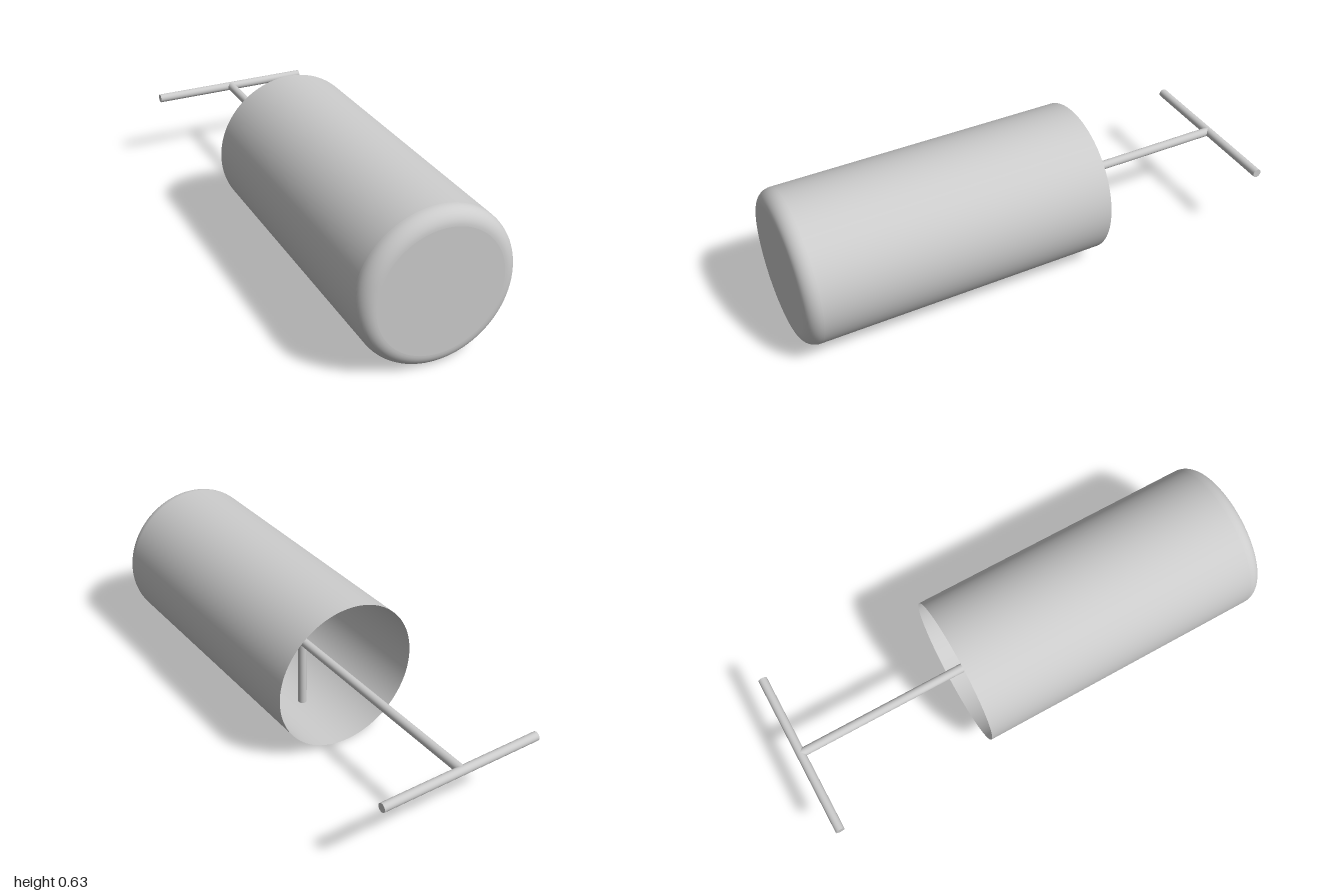
import * as THREE from 'three';

export function createModel() {
  const group = new THREE.Group();
  const grey = new THREE.MeshStandardMaterial({ color: 0xcccccc, side: THREE.DoubleSide });
  grey.name = 'light grey';

  const axisY = 0.316;   // height of the centre axis
  const radius = 0.314;
  const backZ = -0.285, shoulderZ = 0.94, frontZ = 1;
  const barZ = 0.03, handleZ = -0.981;
  const rodRadius = 0.0185;

  const add = (name, geometry, z) => {
    const mesh = new THREE.Mesh(geometry, grey);
    mesh.name = name;
    mesh.position.set(0, axisY, z);
    group.add(mesh);
    return mesh;
  };
  const rod = (length) => new THREE.CylinderGeometry(rodRadius, rodRadius, length, 32);

  // Thin canister wall, open at the back
  const wallLength = shoulderZ - backZ;
  add('canisterWall',
    new THREE.CylinderGeometry(radius, radius, wallLength, 96, 1, true).rotateX(Math.PI / 2),
    (shoulderZ + backZ) / 2);

  // Rounded front shoulder
  const fillet = frontZ - shoulderZ;
  const profile = [];
  for (let i = 0; i <= 12; i++) {
    const a = (i / 12) * Math.PI / 2;
    profile.push(new THREE.Vector2(radius - fillet + fillet * Math.cos(a), fillet * Math.sin(a)));
  }
  add('roundedShoulder', new THREE.LatheGeometry(profile, 96).rotateX(Math.PI / 2), shoulderZ);

  // Flat front end
  add('frontEnd', new THREE.CircleGeometry(radius - fillet, 96), frontZ);

  // Shaft along the axis, from the inner crossbar to the handle
  add('shaft', rod(barZ - handleZ).rotateX(Math.PI / 2), (barZ + handleZ) / 2);

  // Upright crossbar inside the canister
  add('innerCrossbar', rod(0.612), barZ);

  // Horizontal grip at the back
  add('handle', rod(0.708).rotateZ(Math.PI / 2), handleZ);

  return group;
}
